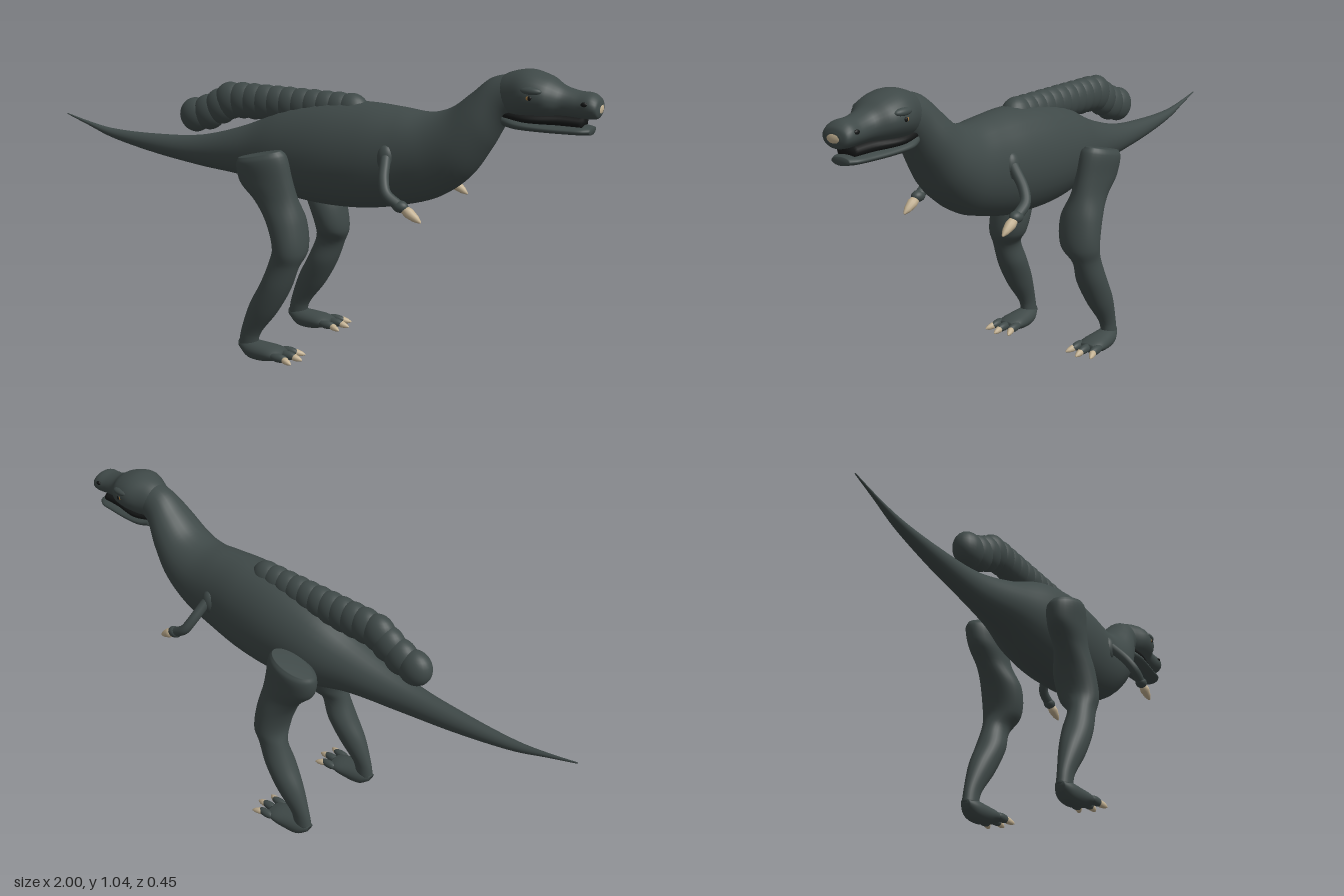
import * as THREE from 'three';

const hide = new THREE.MeshStandardMaterial({ name: 'darkHide', color: 0x3f4948 });
const horn = new THREE.MeshStandardMaterial({ name: 'paleHorn', color: 0xc3b192 });
const dark = new THREE.MeshStandardMaterial({ name: 'mouthBlack', color: 0x141616 });
const amber = new THREE.MeshStandardMaterial({ name: 'eyeAmber', color: 0xa87c45 });

// Smooth skin over elliptical rings: [x1, y1, x2, y2, halfWidth, zCentre].
// Points 1 and 2 are the two ends of the ring's diameter in the xy plane.
function loft(rings, steps = 6, sides = 28) {
  const curve = f => new THREE.CatmullRomCurve3(rings.map(f), false, 'centripetal');
  const first = curve(r => new THREE.Vector3(r[0], r[1], r[4]));
  const second = curve(r => new THREE.Vector3(r[2], r[3], r[5] || 0));
  const n = (rings.length - 1) * steps;
  const pos = [], idx = [];
  for (let i = -1; i <= n + 1; i++) {
    const t = Math.min(Math.max(i / n, 0), 1);
    const p = first.getPoint(t), q = second.getPoint(t);
    const k = i < 0 || i > n ? 0.001 : 1; // closed ends
    for (let j = 0; j < sides; j++) {
      const a = j / sides * Math.PI * 2, c = Math.cos(a) * k / 2;
      pos.push((p.x + q.x) / 2 + (p.x - q.x) * c,
        (p.y + q.y) / 2 + (p.y - q.y) * c, q.z + p.z * Math.sin(a) * k);
    }
  }
  for (let i = 0; i < n + 2; i++) for (let j = 0; j < sides; j++) {
    const a = i * sides + j, b = i * sides + (j + 1) % sides;
    idx.push(a, b, a + sides, b, b + sides, a + sides);
  }
  const g = new THREE.BufferGeometry();
  g.setAttribute('position', new THREE.Float32BufferAttribute(pos, 3));
  g.setIndex(idx);
  g.computeVertexNormals();
  return g;
}

export function createModel() {
  const model = new THREE.Group();
  const add = (name, geo, mat) => {
    const m = new THREE.Mesh(geo, mat);
    m.name = name;
    model.add(m);
    return m;
  };
  const ball = (name, mat, x, y, z, rx, ry, rz) => {
    const m = add(name, new THREE.SphereGeometry(1, 24, 16), mat);
    m.position.set(x, y, z);
    m.scale.set(rx, ry, rz);
    return m;
  };
  const claw = (name, from, to, r) => {
    const a = new THREE.Vector3(...from), d = new THREE.Vector3(...to).sub(a);
    const prof = [[0, 0], [0.8, 0], [1, 0.3], [0.7, 0.7], [0.25, 0.95], [0, 1]]
      .map(([u, v]) => new THREE.Vector2(u * r, v * d.length()));
    const m = add(name, new THREE.LatheGeometry(prof, 12), horn);
    m.position.copy(a);
    m.quaternion.setFromUnitVectors(new THREE.Vector3(0, 1, 0), d.normalize());
  };

  // Tail, trunk and neck
  add('body', loft([
    [-1, 0.733, -1, 0.729, 0.002], [-0.9, 0.712, -0.9, 0.697, 0.008],
    [-0.8, 0.697, -0.8, 0.665, 0.017], [-0.6, 0.697, -0.6, 0.628, 0.033],
    [-0.4, 0.715, -0.4, 0.605, 0.05], [-0.2, 0.775, -0.2, 0.59, 0.09],
    [-0.05, 0.845, -0.05, 0.55, 0.125], [0.1, 0.882, 0.1, 0.536, 0.138],
    [0.25, 0.892, 0.26, 0.544, 0.132], [0.37, 0.886, 0.4, 0.574, 0.118],
    [0.46, 0.88, 0.5, 0.61, 0.112], [0.53, 0.9, 0.6, 0.685, 0.106],
    [0.6, 0.955, 0.67, 0.79, 0.088], [0.66, 1.005, 0.72, 0.875, 0.064],
    [0.73, 1.025, 0.77, 0.9, 0.058]]), hide);

  // Head: skull with snout, lower jaw, mouth lining
  add('skull', loft([
    [0.67, 1.0, 0.69, 0.91, 0.045], [0.72, 1.028, 0.73, 0.893, 0.066],
    [0.78, 1.04, 0.78, 0.897, 0.088], [0.84, 1.025, 0.84, 0.904, 0.082],
    [0.885, 1.0, 0.885, 0.908, 0.052], [0.93, 0.988, 0.93, 0.908, 0.048],
    [0.97, 0.985, 0.97, 0.908, 0.052], [0.99, 0.972, 0.99, 0.912, 0.045],
    [0.997, 0.955, 0.997, 0.925, 0.025]]), hide);
  add('lowerJaw', loft([
    [0.705, 0.91, 0.712, 0.862, 0.05], [0.75, 0.9, 0.75, 0.858, 0.064],
    [0.82, 0.892, 0.82, 0.857, 0.062], [0.9, 0.889, 0.9, 0.858, 0.054],
    [0.95, 0.888, 0.95, 0.86, 0.048], [0.975, 0.886, 0.975, 0.862, 0.032]]), hide);
  add('mouthLining', loft([
    [0.7, 0.93, 0.7, 0.88, 0.045], [0.78, 0.92, 0.78, 0.875, 0.058],
    [0.88, 0.92, 0.88, 0.875, 0.04], [0.95, 0.915, 0.95, 0.875, 0.034]]), dark);
  ball('noseHorn', horn, 0.978, 0.94, 0, 0.022, 0.026, 0.046);

  // Spinal ridge of overlapping plates
  const ridge = [[-0.42, 0.785, 0.06], [-0.365, 0.8, 0.062], [-0.315, 0.825, 0.062], [-0.275, 0.848, 0.064]];
  for (let i = 0; i < 10; i++) ridge.push([-0.225 + i * 0.046, 0.853 + i * 0.0005, 0.062 - i * 0.0005]);
  ridge.forEach(([x, y, r]) => ball('ridgePlate', hide, x, y, 0, Math.min(r, 0.06), r, 0.047));

  for (const s of [1, -1]) {
    ball('eye', amber, 0.803, 0.968, s * 0.083, 0.013, 0.009, 0.007);
    ball('pupil', dark, 0.807, 0.968, s * 0.088, 0.006, 0.007, 0.004);
    ball('brow', hide, 0.805, 0.987, s * 0.075, 0.034, 0.013, 0.016);
    ball('nostril', dark, 0.957, 0.957, s * 0.049, 0.01, 0.007, 0.005);

    // Hind leg from hip to ankle
    add('hindLeg', loft([
      [0.015, 0.738, -0.14, 0.7, 0.04, s * 0.165], [0.03, 0.72, -0.15, 0.68, 0.055, s * 0.16],
      [0.05, 0.64, -0.14, 0.62, 0.055, s * 0.155], [0.065, 0.58, -0.085, 0.56, 0.055, s * 0.15],
      [0.09, 0.5, -0.04, 0.49, 0.072, s * 0.142], [0.1, 0.4, -0.015, 0.41, 0.068, s * 0.15],
      [0.08, 0.35, -0.025, 0.36, 0.046, s * 0.165], [0.05, 0.27, -0.058, 0.28, 0.05, s * 0.166],
      [0.0, 0.18, -0.1, 0.2, 0.042, s * 0.17], [-0.065, 0.09, -0.135, 0.1, 0.025, s * 0.172],
      [-0.075, 0.045, -0.145, 0.05, 0.024, s * 0.172]]), hide);
    add('foot', loft([
      [-0.145, 0.06, -0.135, 0.03, 0.016, s * 0.172], [-0.11, 0.068, -0.1, 0.004, 0.033, s * 0.172],
      [-0.05, 0.066, -0.04, 0.003, 0.042, s * 0.172], [0, 0.06, 0.0, 0.014, 0.045, s * 0.172],
      [0.03, 0.05, 0.03, 0.022, 0.036, s * 0.172]]), hide);
    for (const k of [-1, 0, 1]) {
      const z = s * 0.172 + k * 0.036, reach = k ? 0 : 0.015;
      ball('toe', hide, 0.03 + reach, 0.038, z, 0.035, 0.015, 0.014);
      claw('toeClaw', [0.045 + reach, 0.038, z], [0.085 + reach, 0.03, z + k * 0.014], 0.012);
    }

    // Fore arm, hand and finger claws
    const path = new THREE.CatmullRomCurve3([[0.36, 0.76, 0.1], [0.37, 0.73, 0.13], [0.385, 0.685, 0.17],
      [0.405, 0.65, 0.19], [0.45, 0.62, 0.192]].map(([x, y, z]) => new THREE.Vector3(x, y, z * s)));
    add('arm', new THREE.TubeGeometry(path, 20, 0.017, 14), hide);
    ball('shoulder', hide, 0.36, 0.74, s * 0.105, 0.03, 0.045, 0.025);
    ball('hand', hide, 0.453, 0.619, s * 0.192, 0.026, 0.019, 0.02);
    claw('fingerClaw', [0.465, 0.613, s * 0.192], [0.523, 0.576, s * 0.192], 0.017);
  }
  return model;
}
